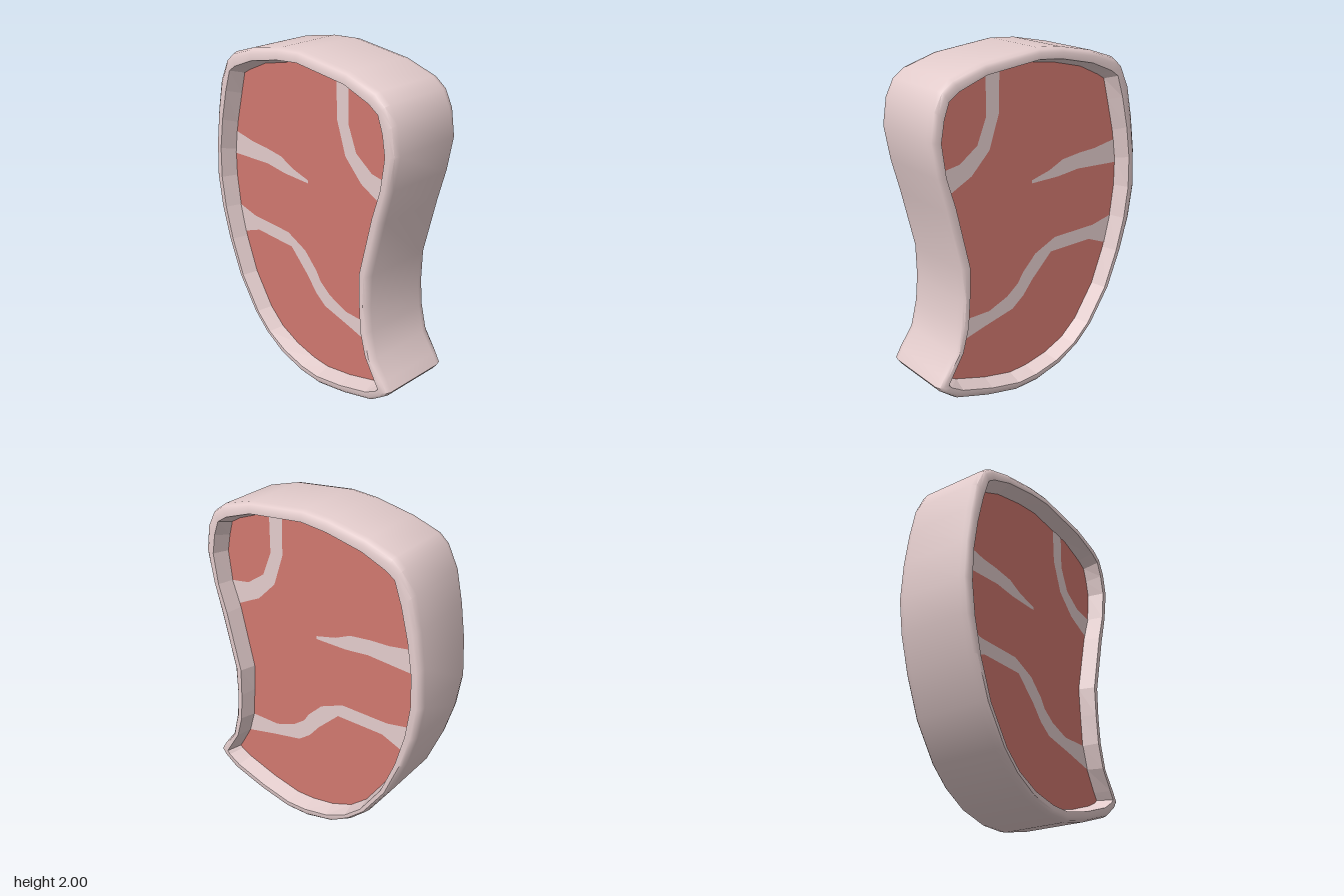
import * as THREE from 'three';
import { toCreasedNormals } from 'three/addons/utils/BufferGeometryUtils.js';

// Outline points: outer z, outer y, meat edge z, meat edge y
const OUTLINE = [
  [0.735, 0.225, 0.645, 0.235], [0.70, 0.285, 0.62, 0.275], [0.62, 0.39, 0.55, 0.40],
  [0.58, 0.55, 0.51, 0.535], [0.565, 0.70, 0.497, 0.72], [0.57, 0.89, 0.487, 0.89],
  [0.65, 1.23, 0.572, 1.26], [0.70, 1.42, 0.625, 1.42], [0.735, 1.615, 0.645, 1.60],
  [0.71, 1.77, 0.625, 1.70], [0.66, 1.86, 0.60, 1.785], [0.59, 1.91, 0.54, 1.82],
  [0.39, 1.965, 0.38, 1.88], [0.03, 2.0, 0.03, 1.915], [-0.13, 1.987, -0.13, 1.895],
  [-0.365, 1.94, -0.34, 1.845], [-0.53, 1.885, -0.48, 1.78], [-0.585, 1.835, -0.53, 1.75],
  [-0.65, 1.71, -0.565, 1.62], [-0.69, 1.525, -0.615, 1.43], [-0.72, 1.32, -0.645, 1.25],
  [-0.735, 1.09, -0.645, 1.08], [-0.705, 0.89, -0.62, 0.89], [-0.645, 0.69, -0.57, 0.69],
  [-0.55, 0.46, -0.485, 0.47], [-0.41, 0.255, -0.35, 0.27], [-0.30, 0.15, -0.24, 0.175],
  [-0.155, 0.06, -0.10, 0.115], [0.03, 0.01, 0.05, 0.085], [0.19, 0.005, 0.17, 0.08],
  [0.40, 0.05, 0.36, 0.12], [0.62, 0.12, 0.56, 0.185], [0.71, 0.19, 0.63, 0.22],
];

// Marbling strips as z, y corners
const VEINS = [
  [[0.325, 1.885], [0.235, 1.895], [0.24, 1.67], [0.305, 1.48], [0.425, 1.36], [0.578, 1.285],
    [0.625, 1.42], [0.50, 1.44], [0.385, 1.52], [0.325, 1.665]],
  [[0.01, 1.248], [0.01, 1.23], [-0.19, 1.23], [-0.34, 1.245], [-0.645, 1.225], [-0.625, 1.37],
    [-0.47, 1.345], [-0.35, 1.34], [-0.22, 1.325], [-0.12, 1.28]],
  [[-0.62, 0.89], [-0.475, 0.86], [-0.17, 0.86], [-0.02, 0.795], [0.075, 0.70], [0.11, 0.645],
    [0.19, 0.585], [0.32, 0.535], [0.51, 0.535], [0.55, 0.40], [0.35, 0.45], [0.15, 0.495],
    [0.07, 0.555], [0, 0.64], [-0.14, 0.775], [-0.445, 0.775], [-0.578, 0.72]],
];

const FACE_X = 0.14;

// Joins closed rings; each ring is [x, blend from outer outline to meat edge]
function band(rings) {
  const n = OUTLINE.length, pos = [], index = [];
  for (const [x, t] of rings)
    for (const [oz, oy, iz, iy] of OUTLINE) pos.push(x, oy + (iy - oy) * t, oz + (iz - oz) * t);
  for (let r = 0; r < rings.length - 1; r++)
    for (let i = 0; i < n; i++) {
      const a = r * n + i, b = r * n + (i + 1) % n;
      index.push(a, a + n, b, b, a + n, b + n);
    }
  const geo = new THREE.BufferGeometry();
  geo.setAttribute('position', new THREE.Float32BufferAttribute(pos, 3));
  geo.setIndex(index);
  geo.computeVertexNormals();
  return geo;
}

// Flat patch facing left (side 1) or right (side -1)
function patch(points, side, x) {
  const shape = new THREE.Shape(points.map(([z, y]) => new THREE.Vector2(-side * z, y)));
  return new THREE.ShapeGeometry(shape).rotateY(side * Math.PI / 2).translate(side * x, 0, 0);
}

export function createModel() {
  const group = new THREE.Group();
  const fat = new THREE.MeshStandardMaterial({ color: 0xe3cccc });
  const fatFlat = new THREE.MeshStandardMaterial({ color: 0xe3cccc, flatShading: true });
  const meat = new THREE.MeshStandardMaterial({ color: 0xd1786f });
  const add = (name, geo, mat) => {
    const mesh = new THREE.Mesh(geo, mat);
    mesh.name = name;
    group.add(mesh);
  };

  // Smooth fat rind with rounded rims
  const half = [[0.19, 0], [0.222, 0.1], [0.235, 0.3], [0.235, 0.68]];
  const mirrored = half.map(([x, t]) => [-x, t]).reverse();
  add('fatRind', toCreasedNormals(band([...mirrored, ...half]), 0.75), fat);

  for (const side of [1, -1]) {
    const label = side > 0 ? 'left' : 'right';
    // Faceted wall sloping down to the recessed meat
    const wall = [[side * 0.235, 0.68], [side * FACE_X, 1]];
    add(label + 'InnerWall', band(side > 0 ? wall : wall.reverse()), fatFlat);
    // Meat face with marbling
    add(label + 'MeatFace', patch(OUTLINE.map((p) => [p[2], p[3]]), side, FACE_X), meat);
    VEINS.forEach((v, i) => add(label + 'Marbling' + (i + 1), patch(v, side, FACE_X + 0.002), fat));
  }
  return group;
}
